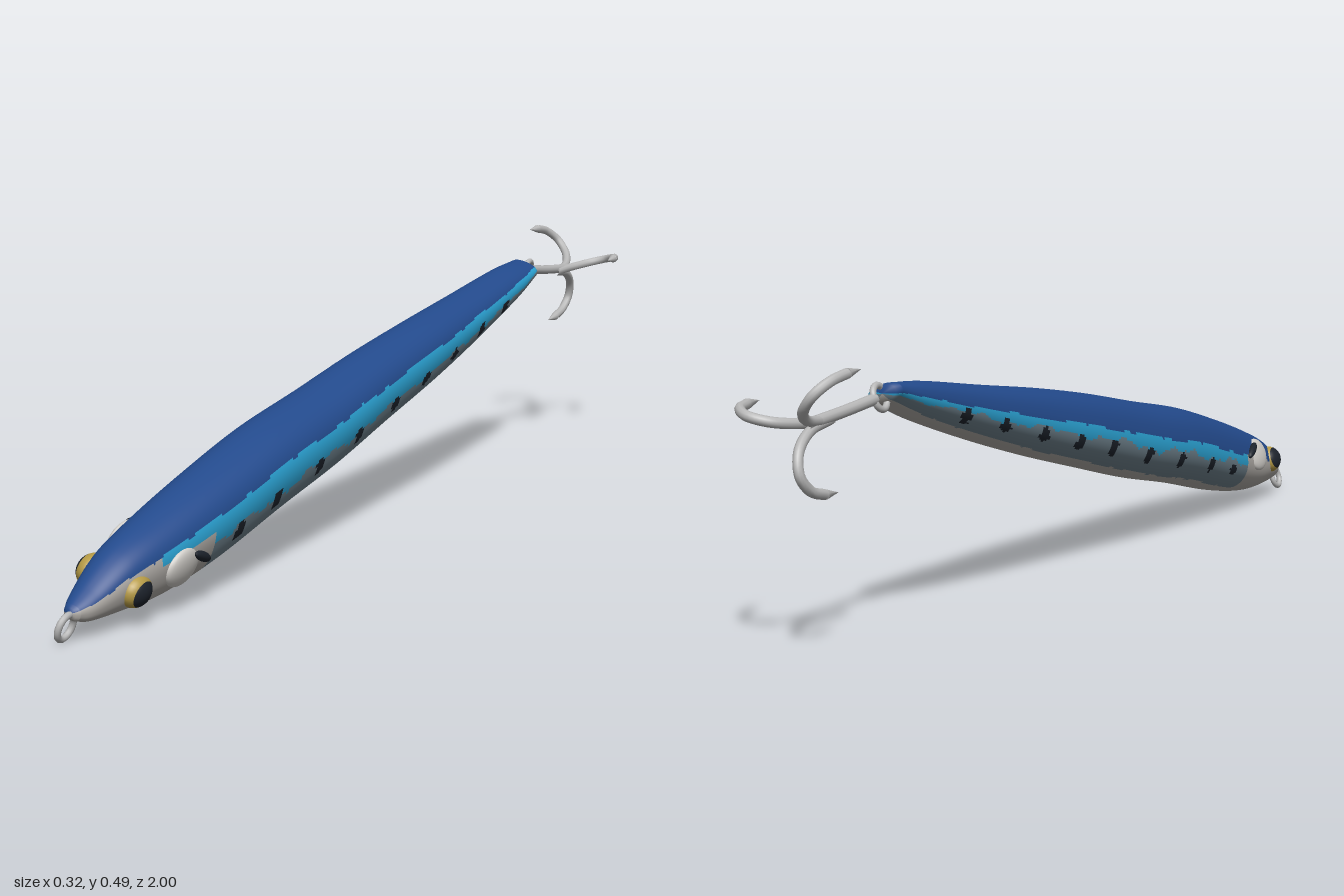
import * as THREE from 'three';

const mat = (name, color) => {
  const m = new THREE.MeshStandardMaterial({ color });
  m.name = name;
  return m;
};
const colours = {
  blue: mat('back blue', 0x234a8c),
  cyan: mat('stripe cyan', 0x2ba3d4),
  slate: mat('flank slate', 0x70838e),
  silver: mat('belly silver', 0xb0aca7),
  black: mat('spot black', 0x1d232c),
  gold: mat('eye gold', 0xb59a45),
  steel: mat('hook steel', 0xb8b8b8),
  pale: mat('gill pale', 0xd2cfca),
};
const ROLL = -0.31;

// Body stations: z, centre x, centre y, half width, half height
const STATIONS = [
  [0.962, -0.1, 0.05, 0.016, 0.013],
  [0.93, -0.098, 0.056, 0.03, 0.026],
  [0.85, -0.092, 0.079, 0.05, 0.052],
  [0.75, -0.084, 0.098, 0.064, 0.069],
  [0.6, -0.073, 0.132, 0.074, 0.078],
  [0.4, -0.06, 0.18, 0.078, 0.08],
  [0.2, -0.046, 0.219, 0.076, 0.078],
  [0, -0.032, 0.263, 0.071, 0.073],
  [-0.2, -0.016, 0.305, 0.065, 0.064],
  [-0.4, -0.003, 0.347, 0.056, 0.05],
  [-0.6, 0.011, 0.393, 0.044, 0.033],
  [-0.7, 0.02, 0.418, 0.033, 0.016],
];
const SPOTS = [0.58, 0.46, 0.31, 0.16, 0.01, -0.12, -0.25, -0.385, -0.51];

function mesh(name, geometry, material) {
  const m = new THREE.Mesh(geometry, material);
  m.name = name;
  return m;
}

// Jagged edge of a painted band, in degrees
const ragged = (z, s) =>
  4 * Math.sin(z * 23 + s) + 3 * Math.sin(z * 61 + 2 * s) + 2 * Math.sin(z * 137 + 3 * s);

// Paint colour for a point; angle runs -90..270 from the left side (+x) over the back
function paint(z, deg, radius) {
  const left = deg < 90;
  const down = left ? 18 - deg : deg - 172; // degrees below the edge of the back
  if (down < ragged(z, 1) * 0.4) return 'blue';
  const onHead = z > 0.66;
  const spotAt = left ? 40 : 30;
  for (const s of SPOTS) {
    const dy = ((down - spotAt) * Math.PI / 180) * radius;
    if (Math.hypot(z - s, dy * 1.1) < 0.016 + 0.003 * Math.sin(deg * 0.3 + s * 40)) return 'black';
  }
  if (onHead) return down < 14 && z < 0.8 && left ? 'cyan' : 'silver';
  if (down < (left ? 34 : 18) + ragged(z, 4)) return 'cyan';
  if (down < (left ? 84 : 66) + ragged(z, 7) * 0.3) return 'slate';
  return 'silver';
}

// Body lofted through the stations, each quad sorted into its paint group
function makeBody() {
  const centre = new THREE.CatmullRomCurve3(STATIONS.map(s => new THREE.Vector3(s[1], s[2], s[0])), false, 'catmullrom');
  const size = new THREE.CatmullRomCurve3(STATIONS.map(s => new THREE.Vector3(s[3], s[4], s[0])), false, 'catmullrom');
  const N = 96, M = 24 * (STATIONS.length - 1);
  const pos = [], info = [];
  const ring = (t, scale, dz) => {
    const c = centre.getPoint(t), s = size.getPoint(t), row = [];
    for (let j = 0; j < N; j++) {
      const a = (j / N) * Math.PI * 2, p = 2 / 2.3;
      const u = Math.sign(Math.cos(a)) * Math.abs(Math.cos(a)) ** p * s.x;
      const v = Math.sign(Math.sin(a)) * Math.abs(Math.sin(a)) ** p * s.y;
      const dx = u * Math.cos(ROLL) - v * Math.sin(ROLL);
      const dy = u * Math.sin(ROLL) + v * Math.cos(ROLL);
      pos.push(c.x + dx * scale, c.y + dy * scale, c.z + dz);
      let deg = Math.atan2(dy / s.y, dx / s.x) * 180 / Math.PI;
      if (deg < -90) deg += 360;
      row.push({ z: c.z, deg, radius: s.y });
    }
    info.push(row);
  };
  ring(0, 0.02, 0.008);
  ring(0, 0.7, 0.005);
  for (let i = 0; i <= M; i++) ring(i / M, 1, 0);
  ring(1, 0.8, -0.008);
  ring(1, 0.02, -0.01);

  const lists = {};
  for (let i = 0; i < info.length - 1; i++) {
    for (let j = 0; j < N; j++) {
      const k = (j + 1) % N;
      const a = i * N + j, b = i * N + k, c = a + N, d = b + N;
      const f = info[i][j];
      (lists[paint(f.z, f.deg, f.radius)] ??= []).push(a, c, b, b, c, d);
    }
  }
  const g = new THREE.BufferGeometry();
  g.setAttribute('position', new THREE.Float32BufferAttribute(pos, 3));
  const index = [], materials = [];
  for (const [name, list] of Object.entries(lists)) {
    g.addGroup(index.length, list.length, materials.length);
    materials.push(colours[name]);
    for (const i of list) index.push(i);
  }
  g.setIndex(index);
  g.computeVertexNormals();
  return mesh('body', g, materials);
}

// Domed eye with gold rim and black pupil, plus gill cover with dark slash
function makeFace(side) {
  const g = new THREE.Group();
  g.name = side > 0 ? 'leftFace' : 'rightFace';
  const eye = new THREE.Group();
  eye.name = 'eye';
  eye.add(
    mesh('pupil', new THREE.SphereGeometry(1, 28, 8, 0, Math.PI * 2, 0, 0.95), colours.black),
    mesh('iris', new THREE.SphereGeometry(1, 28, 8, 0, Math.PI * 2, 0.95, 0.75), colours.gold),
  );
  eye.scale.set(0.029, 0.026, 0.034);
  eye.rotation.z = -side * Math.PI / 2;
  eye.position.set(side * 0.043, -0.004, 0.845);
  const gill = mesh('gillCover', new THREE.SphereGeometry(1, 24, 16), colours.pale);
  gill.scale.set(0.014, 0.036, 0.05);
  gill.position.set(side * 0.06, -0.004, 0.735);
  const slash = mesh('gillSlash', new THREE.SphereGeometry(1, 16, 12), colours.black);
  slash.scale.set(0.009, 0.009, 0.032);
  slash.rotation.x = -0.4;
  slash.position.set(side * 0.071, 0.0, 0.69);
  g.add(eye, gill, slash);
  return g;
}

function makeRing(name, x, y, z, radius, tube) {
  const r = mesh(name, new THREE.TorusGeometry(radius, tube, 10, 28), colours.steel);
  r.rotation.set(0, Math.PI / 2, 0);
  const g = new THREE.Group();
  g.name = name + 'Mount';
  g.add(r);
  g.position.set(x, y, z);
  g.rotation.z = ROLL;
  return g;
}

const tube = (points, radius, steps) =>
  new THREE.TubeGeometry(new THREE.CatmullRomCurve3(points), steps, radius, 10);

// Treble hook: shank and three curled, pointed arms
function makeHook() {
  const g = new THREE.Group();
  g.name = 'trebleHook';
  const V = (x, y, z) => new THREE.Vector3(x, y, z);
  g.add(mesh('shank', tube([V(0.021, 0.412, -0.735), V(0.03, 0.402, -0.82), V(0.038, 0.393, -0.93)], 0.01, 16), colours.steel));
  const profile = [[0, -0.86], [0.012, -0.935], [0.04, -0.978], [0.075, -0.988], [0.103, -0.965], [0.115, -0.925]];
  for (const deg of [14, 131, 258]) {
    const c = Math.cos(deg * Math.PI / 180), s = Math.sin(deg * Math.PI / 180);
    const at = ([r, z]) => V(0.037 + r * c, 0.393 + r * s, z - 0.008 * s);
    g.add(mesh('arm', tube(profile.map(at), 0.009, 36), colours.steel));
    const base = at([0.115, -0.925]), tip = at([0.118, -0.882]);
    const point = mesh('armPoint', new THREE.ConeGeometry(0.009, base.distanceTo(tip), 10), colours.steel);
    point.position.copy(base).lerp(tip, 0.5);
    point.quaternion.setFromUnitVectors(V(0, 1, 0), tip.sub(base).normalize());
    g.add(point);
  }
  return g;
}

export function createModel() {
  const model = new THREE.Group();
  model.name = 'fishingLure';
  model.add(makeBody());

  // Face parts share the roll, and follow the pitch and yaw of the body
  for (const side of [1, -1]) {
    const face = makeFace(side);
    face.rotation.z = ROLL;
    for (const part of face.children) {
      const t = 0.85 - part.position.z;
      const dx = -0.092 + t * 0.08, dy = 0.079 + t * 0.2;
      part.position.x += dx * Math.cos(ROLL) + dy * Math.sin(ROLL);
      part.position.y += -dx * Math.sin(ROLL) + dy * Math.cos(ROLL);
    }
    model.add(face);
  }

  model.add(
    makeRing('noseRing', -0.107, 0.028, 0.972, 0.022, 0.006),
    makeRing('tailRing', 0.02, 0.413, -0.718, 0.021, 0.006),
    makeHook(),
  );
  return model;
}
